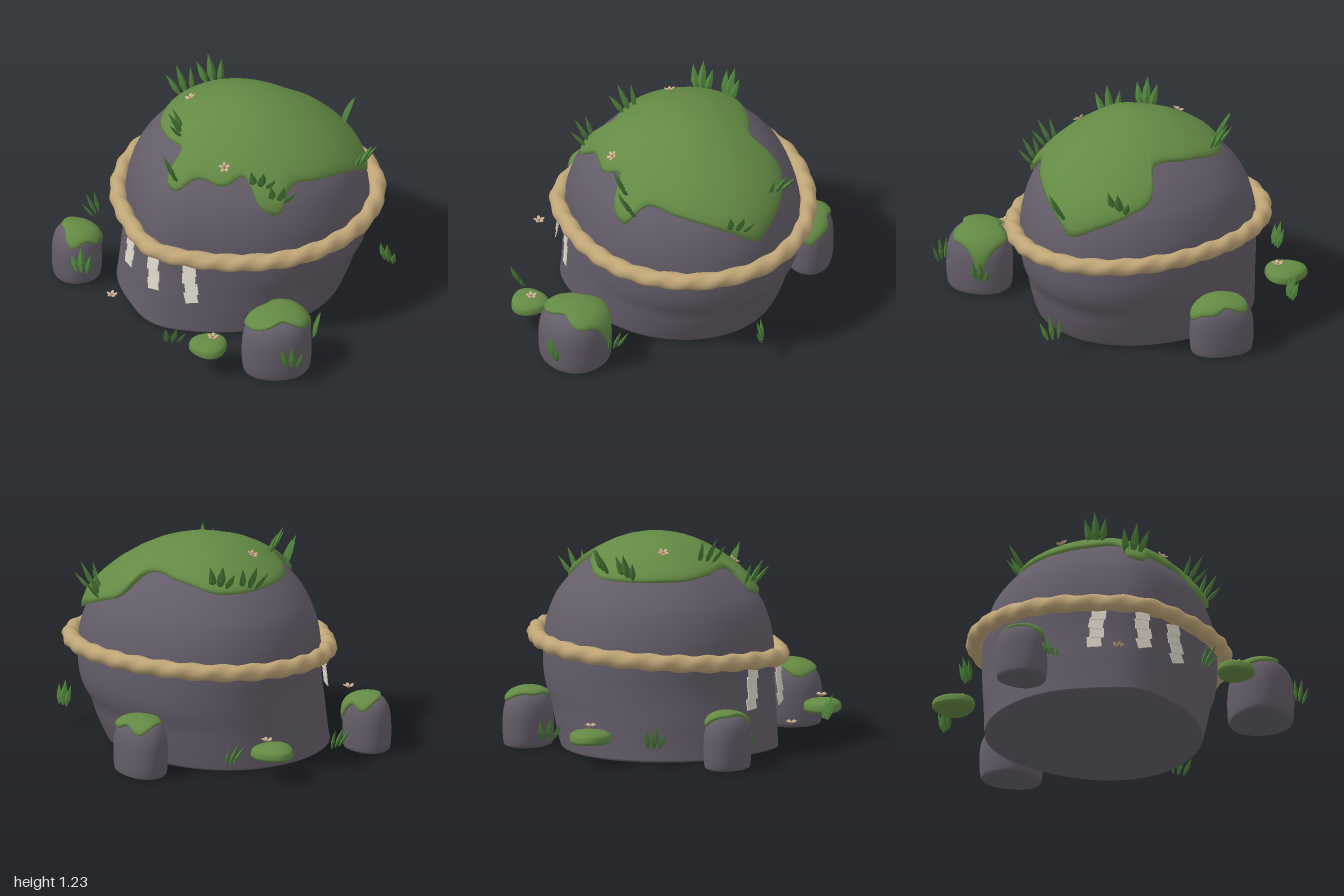
import * as THREE from 'three';

const mat = (name, color) => {
  const m = new THREE.MeshStandardMaterial({ color });
  m.name = name;
  return m;
};
const V = (x, y, z) => new THREE.Vector3(x, y, z);

// Closed skin through rings; each ring runs counter-clockwise seen from above
function loft(rings) {
  const n = rings[0].length, pos = [], idx = [];
  rings.forEach(r => r.forEach(p => pos.push(p.x, p.y, p.z)));
  for (let j = 0; j < rings.length - 1; j++) for (let i = 0; i < n; i++) {
    const a = j * n + i, b = j * n + (i + 1) % n;
    idx.push(a, b, b + n, a, b + n, a + n);
  }
  const g = new THREE.BufferGeometry();
  g.setAttribute('position', new THREE.Float32BufferAttribute(pos, 3));
  g.setIndex(idx);
  g.computeVertexNormals();
  return g;
}

// A boulder: outline radius by angle, and a [scale, height] profile from ground to top.
// undercut(angle) says how strongly the lower profile is followed in that direction.
function makeStone(cx, cz, radius, profile, undercut = () => 1) {
  const curve = new THREE.CatmullRomCurve3(profile.map(([s, y]) => V(s, y, 0)), false, 'centripetal').getPoints(48);
  curve[48].x = 0;
  const widest = curve.reduce((m, p) => (p.x > m.x ? p : m));
  const height = rho => {
    for (let i = 48; i > 0; i--) {
      const a = curve[i], b = curve[i - 1];
      if (rho >= a.x && rho <= b.x) return a.y + (b.y - a.y) * (rho - a.x) / Math.max(b.x - a.x, 1e-6);
    }
    return widest.y;
  };
  const ring = (s, y) => Array.from({ length: 64 }, (_, i) => {
    const a = i / 64 * Math.PI * 2;
    const r = radius(a) * (s > 0 && y < widest.y ? 1 - (1 - s) * undercut(a) : s);
    return V(cx + Math.sin(a) * r, y, cz + Math.cos(a) * r);
  });
  // Softened lowest edge
  const bottom = ring(curve[0].x, 0);
  bottom.forEach(p => { p.x += (cx - p.x) * 0.03; p.z += (cz - p.z) * 0.03; });
  const sides = curve.map(p => ring(p.x, Math.max(p.y, 0.008)));
  return { cx, cz, radius, height, geometry: loft([ring(0, 0), bottom, ...sides]) };
}
const surfaceY = (st, x, z) =>
  st.height(Math.hypot(x - st.cx, z - st.cz) / st.radius(Math.atan2(x - st.cx, z - st.cz)));

// Moss blanket lying on a stone inside an outline of [x, z] points
function mossGeometry(st, edge, thick) {
  const steps = [[0.96, -0.3], [1.01, 0], [1.02, 0.45], [1, 0.8], [0.96, 1], [0.88, 1.05], [0.76, 1],
    [0.62, 1], [0.48, 1], [0.34, 1], [0.2, 1], [0.1, 1], [0, 1]];
  return loft(steps.map(([t, k]) => edge.map(([x, z]) => {
    const dx = (x - st.cx) * t, dz = (z - st.cz) * t, d = Math.hypot(dx, dz) || 1;
    const rho = t && Math.min(1, d / st.radius(Math.atan2(dx, dz)));
    const out = rho * rho * thick * k;
    return V(st.cx + dx + dx / d * out, surfaceY(st, st.cx + dx, st.cz + dz) + thick * k * (1 - 0.5 * rho), st.cz + dz + dz / d * out);
  })));
}

export function createModel() {
  const model = new THREE.Group();
  const rock = mat('rock grey', 0x645d69), moss = mat('moss green', 0x648a44), grass = mat('grass green', 0x4c7f39);
  const rope = mat('straw rope', 0xc0a677), paper = mat('paper cream', 0xded6ca), petal = mat('petal', 0xd0b294), heart = mat('flower heart', 0x9a7850);
  const add = (name, geometry, material, parent = model) => {
    const m = new THREE.Mesh(geometry, material);
    m.name = name;
    parent.add(m);
    return m;
  };

  // Great rock: radii at sixteen equal angles, starting at the front and turning to +x
  const radii = [0.69, 0.64, 0.625, 0.645, 0.675, 0.71, 0.73, 0.71, 0.675, 0.655, 0.67, 0.69, 0.69, 0.68, 0.67, 0.66];
  const bigRadius = a => {
    const f = ((a / (Math.PI * 2)) % 1 + 1) % 1 * 16, i = Math.floor(f), t = f - i;
    const [p, q, r, s] = [-1, 0, 1, 2].map(k => radii[(i + k + 16) % 16]);
    return q + 0.5 * t * (r - p + t * (2 * p - 5 * q + 4 * r - s + t * (3 * (q - r) + s - p)));
  };
  const big = makeStone(-0.02, -0.07, bigRadius, [[0.77, 0], [0.81, 0.06], [0.86, 0.15], [0.9, 0.24], [0.97, 0.34],
    [1, 0.46], [0.985, 0.66], [0.91, 0.82], [0.82, 0.91], [0.7, 0.995], [0.55, 1.07], [0.38, 1.13], [0.2, 1.165], [0, 1.175]],
    a => 0.35 - 0.55 * Math.cos(a) + 0.4 * Math.sin(a));
  add('great rock', big.geometry, rock);

  // Moss cap with hanging lobes
  const lobes = [[-0.03, -0.45], [0.03, -0.6], [0.17, -0.64], [0.3, -0.63], [0.47, -0.55], [0.53, -0.4], [0.545, -0.26], [0.53, -0.1],
    [0.485, 0.06], [0.51, 0.17], [0.43, 0.25], [0.3, 0.24], [0.24, 0.34], [0.1, 0.41], [0.03, 0.5], [-0.05, 0.49],
    [-0.08, 0.35], [-0.24, 0.3], [-0.39, 0.2], [-0.49, -0.04], [-0.44, -0.27], [-0.24, -0.39]];
  const capEdge = new THREE.CatmullRomCurve3(lobes.reverse().map(([x, z]) => V(x, 0, z)), true, 'centripetal')
    .getPoints(120).slice(0, -1).map(p => [p.x, p.z]);
  add('moss cap', mossGeometry(big, capEdge, 0.037), moss);

  // Twisted straw rope, tilted down towards the front
  const ropeRings = [];
  for (let j = 0; j <= 10; j++) {
    const phi = Math.PI + j / 10 * Math.PI * 2;
    ropeRings.push(Array.from({ length: 240 }, (_, i) => {
      const a = i / 240 * Math.PI * 2;
      const r = 0.049 * (1 + 0.1 * Math.cos(2 * phi - 26 * a)), d = bigRadius(a) + 0.04 + r * Math.cos(phi);
      const x = big.cx + Math.sin(a) * d, z = big.cz + Math.cos(a) * d;
      return V(x, 0.573 - 0.06 * z - 0.03 * x + r * Math.sin(phi), z);
    }));
  }
  add('rope', loft(ropeRings), rope);

  // Paper streamers hanging from the rope in small folds
  [[-0.265, 0.46, -0.1], [-0.02, 0.46, 0.08], [0.195, 0.43, 0.14]].forEach(([x, y, lean]) => {
    const a = Math.atan2(x - big.cx, 0.66), d = bigRadius(a) + 0.036;
    const strip = new THREE.Group();
    strip.name = 'paper streamer';
    strip.position.set(big.cx + Math.sin(a) * d, y, big.cz + Math.cos(a) * d);
    strip.rotation.set(0, a, lean);
    [0.02, -0.08, 0.05, 0.16].forEach((tilt, i) => {
      const p = add('paper fold', new THREE.BoxGeometry(0.083, 0.066, 0.005), paper, strip);
      p.position.set(i % 2 ? -0.006 : 0.004, 0.015 - i * 0.059, 0.003 * i);
      p.rotation.set(-0.12, 0, tilt);
    });
    model.add(strip);
  });

  // Small mossy boulders: x, z, half width, half depth, height, moss shift x and z, moss direction and stretch
  [[-0.715, 0.58, 0.15, 0.135, 0.315, 0.02, -0.015, 0.6, 0.05], [0.762, 0.44, 0.188, 0.21, 0.36, 0, -0.02, 2.75, 0.13],
    [-0.35, -0.74, 0.185, 0.14, 0.32, 0.015, -0.005, 1.6, 0.02]].forEach(([x, z, rx, rz, h, mx, mz, dir, stretch]) => {
    const radius = a => (1 + 0.04 * Math.sin(3 * a + dir)) / Math.hypot(Math.sin(a) / rx, Math.cos(a) / rz);
    const st = makeStone(x, z, radius, [[0.84, 0], [0.96, 0.06], [1, 0.3], [0.985, 0.58], [0.93, 0.74], [0.8, 0.88], [0.6, 0.96], [0.3, 0.995], [0, 1]]
      .map(([s, y]) => [s, y * h]));
    add('small boulder', st.geometry, rock);
    const edge = Array.from({ length: 48 }, (_, i) => {
      const a = i / 48 * Math.PI * 2;
      const r = radius(a) * (0.77 + stretch * Math.cos(2 * (a - dir)) + 0.06 * Math.sin(3 * a + dir) + 0.05 * Math.sin(5 * a));
      return [x + mx + Math.sin(a) * r, z + mz + Math.cos(a) * r];
    });
    add('boulder moss', mossGeometry(st, edge, 0.022), moss);
  });

  // Flat moss cushions
  [[-0.875, -0.19, 0.122, 1.5], [0.51, 0.745, 0.108, 0]].forEach(([x, z, r, ph]) => {
    const cushion = makeStone(x, z, a => r * (1 + 0.06 * Math.cos(3 * a + Math.PI + ph)),
      [[0.9, 0], [1, 0.018], [0.97, 0.04], [0.8, 0.06], [0.45, 0.072], [0, 0.076]]);
    add('moss cushion', cushion.geometry, moss).position.y = 0.13;
  });

  // Grass tufts: flattened pointed blades fanned out and leaning in one direction
  const blade = new THREE.LatheGeometry([[0.008, 0], [0.024, 0.055], [0.018, 0.1], [0, 0.165]]
    .map(([x, y]) => new THREE.Vector2(x, y)), 4).toNonIndexed();
  blade.scale(1, 1, 0.6);
  blade.computeVertexNormals();
  const up = V(0, 1, 0);
  function tuft(x, y, z, dir, lean, size = 1) {
    const g = new THREE.Group();
    g.name = 'grass tuft';
    [[-0.03, 0.85, -0.2], [0, 1, 0], [0.03, 0.8, 0.22]].forEach(([off, s, fan], i) => {
      const b = add('grass blade', blade, grass, g);
      b.position.set(off, 0, (i - 1) * 0.015);
      b.rotation.set(lean + (i - 1) * 0.15, 0, -fan);
      b.scale.setScalar(s);
    });
    g.position.set(x, y, z);
    g.quaternion.setFromAxisAngle(up, dir);
    g.scale.setScalar(size);
    model.add(g);
  }
  [[0.22, -0.63], [0.52, -0.46], [-0.43, -0.25], [-0.49, -0.09], [-0.17, 0.27], [-0.02, 0.48], [0.4, 0.21], [0.5, 0.16]]
    .forEach(([x, z]) => tuft(x, surfaceY(big, x, z) + 0.01, z, Math.atan2(x - big.cx, z - big.cz), 0.5, 1.1));
  [[-0.83, -0.46, -0.9, 0.4], [-0.92, 0.21, -0.9, 0.4], [-0.56, 0.69, 0.9, -0.4], [0.3, 0.83, 1.2, 0.45],
    [0.965, 0.53, 1.1, 0.1], [0.82, 0.21, 2.8, 0.35], [0.61, -0.62, 0.5, 0.25]]
    .forEach(([x, z, dir, lean]) => tuft(x, 0.125, z, dir, lean, 0.9));

  // Five-petalled flowers with slightly raised petals
  const petalShape = new THREE.SphereGeometry(0.014, 8, 5).scale(0.75, 0.4, 1.15);
  const heartShape = new THREE.SphereGeometry(0.009, 8, 5);
  [[-0.83, 0.218, -0.2, 0, 0], [0.53, 0.218, 0.73, 0, 0], [-0.21, 0.19, 0.8, 0, 0],
    [0.21, surfaceY(big, 0.21, 0.31) + 0.042, 0.31, 0.6, -0.35], [-0.31, surfaceY(big, -0.31, 0.06) + 0.044, 0.06, 0.2, 0.4]]
    .forEach(([x, y, z, tx, tz]) => {
      const f = new THREE.Group();
      f.name = 'flower';
      for (let i = 0; i < 5; i++) {
        const a = i / 5 * Math.PI * 2, p = add('petal', petalShape, petal, f);
        p.position.set(Math.sin(a) * 0.019, 0.006, Math.cos(a) * 0.019);
        p.rotation.set(-0.45, a, 0, 'YXZ');
      }
      add('flower heart', heartShape, heart, f);
      f.position.set(x, y, z);
      f.rotation.set(tx, 0, tz);
      model.add(f);
    });

  return model;
}
